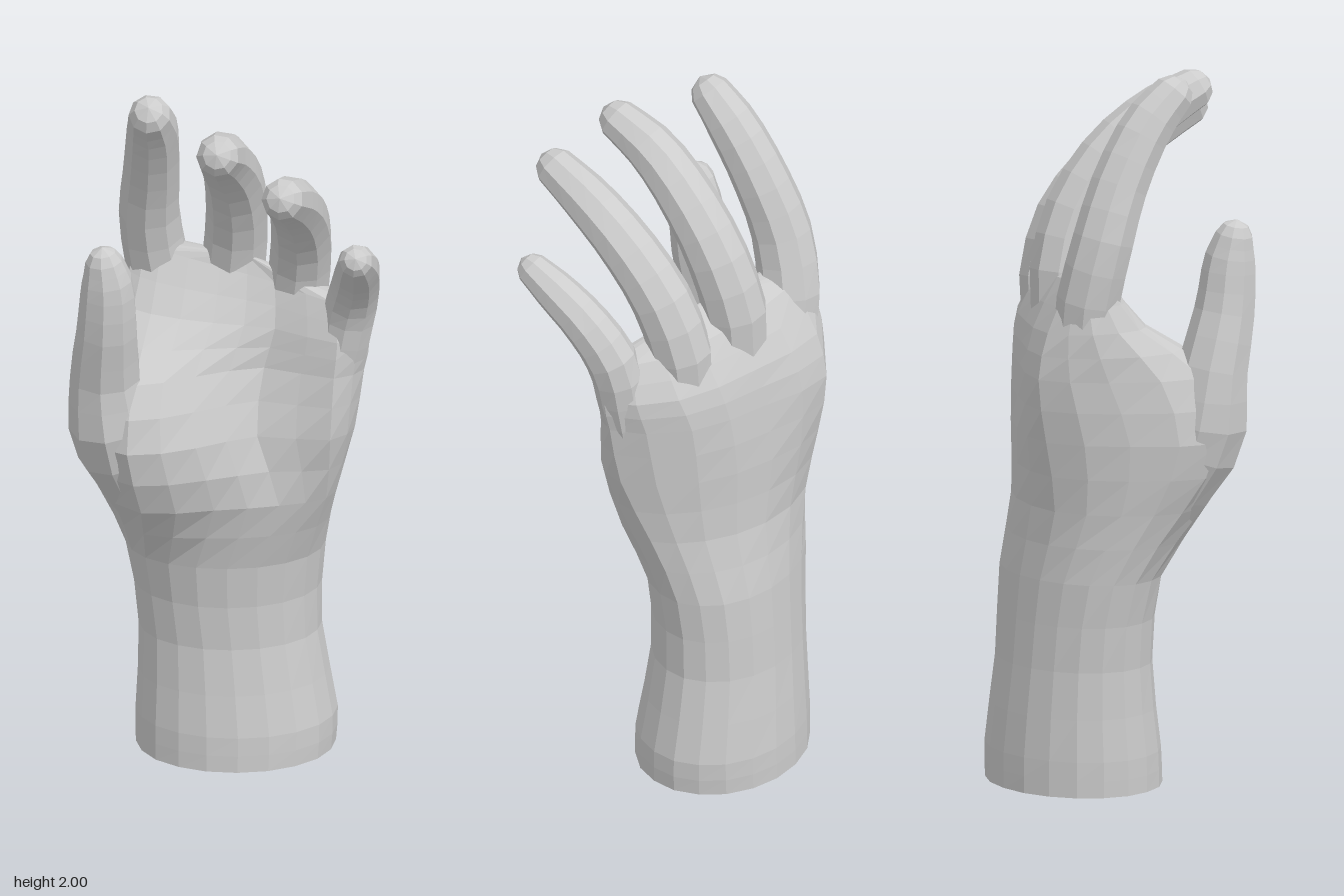
import * as THREE from 'three';

const material = new THREE.MeshStandardMaterial({ color: 0xcccccc, flatShading: true, side: THREE.DoubleSide });

// Skin a stack of equal-sized rings; the last ring is closed by a fan to `tip`.
function loft(name, rings, tip) {
  const n = rings[0].length;
  const points = [...rings.flat(), tip];
  const index = [];
  rings.forEach((ring, i) => {
    for (let j = 0; j < n; j++) {
      const a = i * n + j, b = i * n + (j + 1) % n;
      if (i < rings.length - 1) index.push(a, b, b + n, a, b + n, a + n);
      else index.push(a, b, points.length - 1);
    }
  });
  const geometry = new THREE.BufferGeometry().setFromPoints(points);
  geometry.setIndex(index);
  geometry.computeVertexNormals();
  const mesh = new THREE.Mesh(geometry, material);
  mesh.name = name;
  return mesh;
}

// Ten outline points of an oval, from the thumb side round by the palm.
function oval(cx, cz, rx, rz) {
  return Array.from({ length: 10 }, (_, i) => {
    const a = i / 10 * Math.PI * 2;
    return [cx - Math.cos(a) * rx, cz + Math.sin(a) * rz];
  });
}

// Forearm, wrist and palm: height, slope towards the little finger, outline (x, z)
const sections = [
  [0, 0, oval(0.035, -0.14, 0.275, 0.23)],
  [0.1, 0, oval(0.037, -0.142, 0.278, 0.227)],
  [0.35, 0, oval(0.02, -0.15, 0.252, 0.2)],
  [0.6, 0, oval(0.007, -0.135, 0.275, 0.2)],
  [0.8, 0, [[-0.34, -0.03], [-0.23, 0.135], [-0.03, 0.12], [0.15, 0.09], [0.28, 0.04],
    [0.315, -0.07], [0.24, -0.2], [0.08, -0.3], [-0.13, -0.31], [-0.28, -0.19]]],
  [1.0, 0, [[-0.41, 0.05], [-0.27, 0.195], [-0.08, 0.15], [0.09, 0.07], [0.29, 0.1],
    [0.36, 0], [0.26, -0.19], [0.06, -0.31], [-0.14, -0.345], [-0.31, -0.18]]],
  [1.18, 0, [[-0.37, 0.02], [-0.25, 0.13], [-0.08, 0.07], [0.11, 0.01], [0.3, 0.09],
    [0.385, 0.02], [0.28, -0.18], [0.07, -0.295], [-0.14, -0.37], [-0.28, -0.23]]],
  [1.3, -0.06, [[-0.28, -0.13], [-0.2, -0.06], [-0.03, -0.02], [0.14, 0], [0.31, 0.08],
    [0.4, 0.03], [0.3, -0.15], [0.08, -0.27], [-0.14, -0.34], [-0.26, -0.27]]],
  [1.43, -0.15, [[-0.24, -0.22], [-0.17, -0.17], [-0.01, -0.11], [0.14, -0.05], [0.3, 0.04],
    [0.36, 0.03], [0.28, -0.09], [0.08, -0.2], [-0.14, -0.265], [-0.22, -0.265]]],
];

function palm() {
  const columns = sections[0][2].map((_, j) => new THREE.CatmullRomCurve3(
    sections.map(([y, slope, outline]) => {
      const [x, z] = outline[j];
      return new THREE.Vector3(x, y + slope * x, z);
    })));
  const rings = [];
  for (let i = 0; i <= 16; i++) {
    const outline = new THREE.CatmullRomCurve3(columns.map(c => c.getPoint(i / 16)), true);
    rings.push(Array.from({ length: 20 }, (_, j) => outline.getPoint(j / 20)));
  }
  return loft('palmAndWrist', rings, new THREE.Vector3(0.06, 1.47, -0.11));
}

// Each digit is a bent tube through points of [x, y, z, radius]
const digits = {
  thumb: [[-0.22, 0.72, -0.02, 0.05], [-0.3, 1.0, 0.06, 0.128], [-0.325, 1.18, 0.08, 0.1],
    [-0.322, 1.36, 0.125, 0.084], [-0.322, 1.49, 0.14, 0.074], [-0.332, 1.565, 0.148, 0.052]],
  indexFinger: [[-0.13, 1.08, -0.21, 0.06], [-0.17, 1.34, -0.235, 0.09], [-0.2, 1.55, -0.2, 0.086],
    [-0.195, 1.72, -0.135, 0.08], [-0.195, 1.87, -0.045, 0.073], [-0.205, 1.953, 0.035, 0.058]],
  middleFinger: [[0.02, 1.1, -0.14, 0.06], [0.03, 1.38, -0.185, 0.09], [0.04, 1.58, -0.135, 0.088],
    [0.025, 1.74, -0.03, 0.081], [-0.005, 1.85, 0.1, 0.073], [-0.02, 1.91, 0.225, 0.058]],
  ringFinger: [[0.17, 1.05, -0.07, 0.05], [0.2, 1.32, -0.11, 0.088], [0.215, 1.52, -0.055, 0.086],
    [0.205, 1.66, 0.06, 0.08], [0.18, 1.76, 0.2, 0.072], [0.155, 1.822, 0.325, 0.058]],
  littleFinger: [[0.29, 1.0, 0, 0.04], [0.325, 1.22, 0.01, 0.068], [0.35, 1.38, 0.03, 0.073],
    [0.363, 1.49, 0.105, 0.067], [0.363, 1.565, 0.2, 0.06], [0.358, 1.617, 0.283, 0.046]],
};

function digit(name, path) {
  const curve = new THREE.CatmullRomCurve3(path.map(([x, y, z]) => new THREE.Vector3(x, y, z)));
  const steps = 12, sides = 9;
  const ringAt = (centre, along, r) => {
    const side = new THREE.Vector3(1, 0, 0).addScaledVector(along, -along.x).normalize();
    const front = side.clone().cross(along);
    return Array.from({ length: sides }, (_, j) => {
      const a = j / sides * Math.PI * 2;
      return centre.clone().addScaledVector(side, -Math.cos(a) * r).addScaledVector(front, Math.sin(a) * r);
    });
  };
  const rings = [];
  for (let i = 0; i <= steps; i++) {
    const u = i / steps * (path.length - 1);
    const k = Math.min(Math.floor(u), path.length - 2);
    const r = THREE.MathUtils.lerp(path[k][3], path[k + 1][3], u - k);
    rings.push(ringAt(curve.getPoint(i / steps), curve.getTangent(i / steps), r));
  }
  // Rounded fingertip
  const end = curve.getPoint(1), along = curve.getTangent(1), r = path[path.length - 1][3];
  rings.push(ringAt(end.clone().addScaledVector(along, r * 0.5), along, r * 0.68));
  return loft(name, rings, end.clone().addScaledVector(along, r * 0.8));
}

export function createModel() {
  const hand = new THREE.Group();
  hand.name = 'hand';
  hand.add(palm());
  for (const [name, path] of Object.entries(digits)) hand.add(digit(name, path));
  return hand;
}
